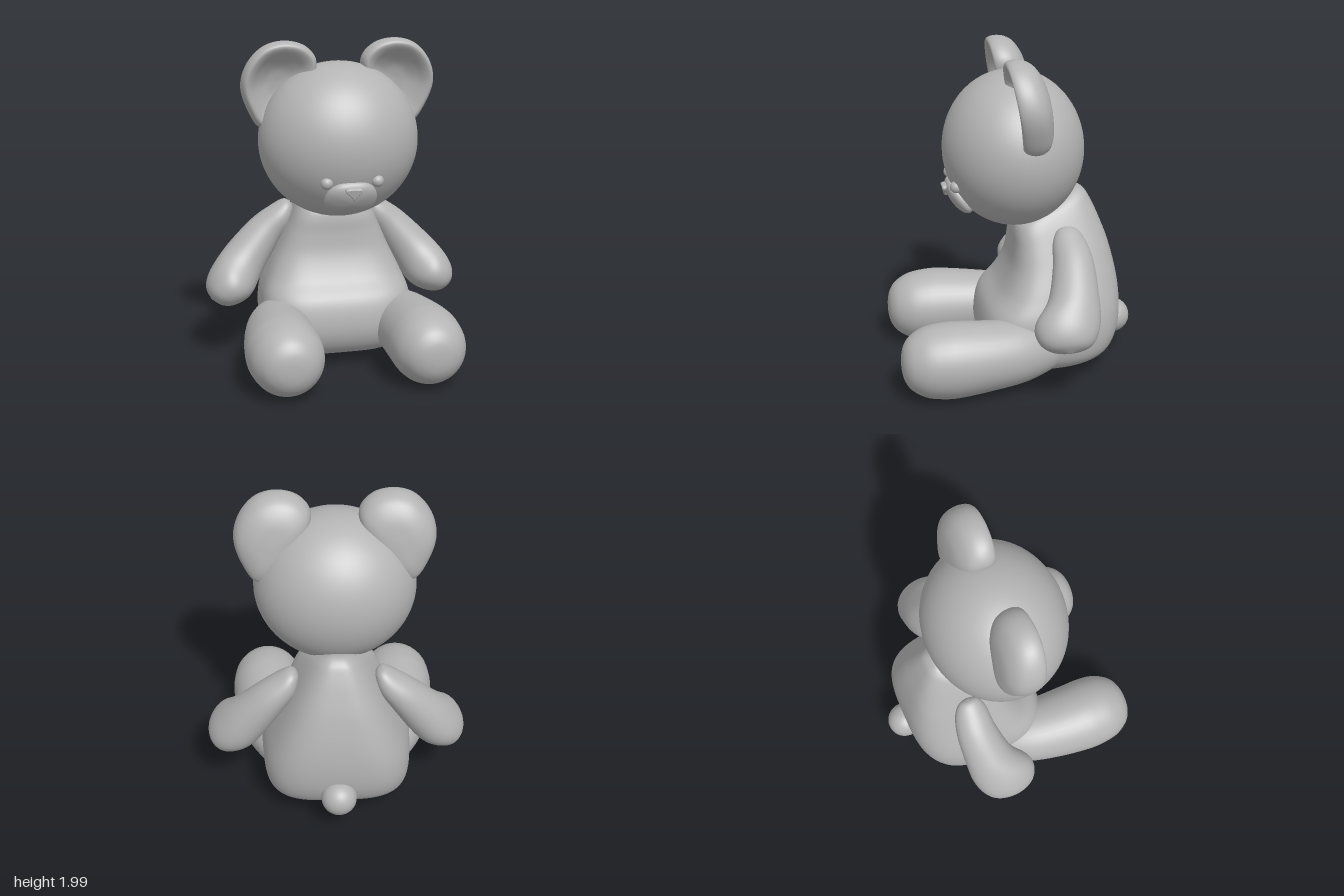
import * as THREE from 'three';
import { mergeVertices } from 'three/addons/utils/BufferGeometryUtils.js';

const plush = new THREE.MeshStandardMaterial({ color: 0xb4b4b4 });
plush.name = 'plush grey';

// Smooth closed skin from fn(u, v): u runs around, v runs from end to end
function skin(fn, nu = 48, nv = 48) {
  const pos = [], idx = [];
  for (let j = 0; j <= nv; j++) {
    for (let i = 0; i < nu; i++) {
      const p = fn(i / nu, j / nv);
      pos.push(p.x, p.y, p.z);
    }
  }
  for (let j = 0; j < nv; j++) {
    for (let i = 0; i < nu; i++) {
      const a = j * nu + i, b = j * nu + (i + 1) % nu;
      idx.push(a, b, b + nu, a, b + nu, a + nu);
    }
  }
  // Keep the faces pointing outwards, whichever way the rings run
  let volume = 0;
  const at = (i) => new THREE.Vector3().fromArray(pos, i * 3);
  for (let k = 0; k < idx.length; k += 3) {
    volume += at(idx[k]).dot(at(idx[k + 1]).cross(at(idx[k + 2])));
  }
  if (volume < 0) idx.reverse();
  let g = new THREE.BufferGeometry();
  g.setAttribute('position', new THREE.Float32BufferAttribute(pos, 3));
  g.setIndex(idx);
  g = mergeVertices(g, 1e-5);
  g.computeVertexNormals();
  return g;
}

// Smooth interpolation through rows of numbers
function spline(rows) {
  const part = (k) => new THREE.CatmullRomCurve3(
    rows.map((r) => new THREE.Vector3(r[k] ?? 0, r[k + 1] ?? 0, r[k + 2] ?? 0)), false, 'catmullrom', 0.5);
  const a = part(0), b = part(3);
  return (t) => [...a.getPoint(t).toArray(), ...b.getPoint(t).toArray()];
}

const sgnPow = (v, e) => Math.sign(v) * Math.pow(Math.abs(v), e);
const lerp = THREE.MathUtils.lerp;

// Rows: [distance, offset u, offset v, radius u, radius v] along a straight axis
function limb(rows, origin, axis, uDir, vDir, side) {
  const at = spline(rows);
  return skin((u, v) => {
    const [s, cu, cv, ru, rv] = at(v);
    const a = u * Math.PI * 2;
    const p = origin.clone().addScaledVector(axis, s)
      .addScaledVector(uDir, cu + Math.max(ru, 0) * Math.cos(a))
      .addScaledVector(vDir, cv + Math.max(rv, 0) * Math.sin(a));
    p.x *= side;
    return p;
  }, 40, 54);
}

// Torso rows: [back y, back z, front y, front z, half width, back narrowing]
function torso() {
  const at = spline([
    [0.06, -0.12, 0.06, -0.12, 0, 1],
    [0.065, -0.28, 0.06, 0.0, 0.2, 1],
    [0.09, -0.43, 0.08, 0.11, 0.33, 1],
    [0.16, -0.555, 0.15, 0.19, 0.41, 1],
    [0.27, -0.615, 0.27, 0.225, 0.445, 0.97],
    [0.42, -0.635, 0.43, 0.195, 0.445, 0.92],
    [0.6, -0.622, 0.55, 0.1, 0.405, 0.84],
    [0.8, -0.575, 0.68, 0.04, 0.345, 0.75],
    [0.95, -0.52, 0.8, 0.02, 0.295, 0.66],
    [1.06, -0.47, 0.9, 0.015, 0.25, 0.58],
    [1.12, -0.43, 0.96, -0.005, 0.2, 0.55],
    [1.14, -0.37, 1.0, -0.08, 0.12, 0.55],
    [1.09, -0.25, 1.09, -0.25, 0, 0.55],
  ]);
  return skin((u, v) => {
    const [by, bz, fy, fz, w, narrow] = at(v);
    const a = u * Math.PI * 2, e = 2 / 3.4;
    const t = (1 + sgnPow(Math.sin(a), e)) / 2;
    const x = Math.max(w, 0) * sgnPow(Math.cos(a), e) * lerp(narrow, 1.08, t);
    return new THREE.Vector3(x, lerp(by, fy, t), lerp(bz, fz, t));
  }, 80, 72);
}

// Dished ear: one outline scaled through a front-to-back cross-section
function ear(side) {
  const outline = new THREE.CatmullRomCurve3([
    [0.33, 2.0], [0.45, 1.97], [0.545, 1.87], [0.582, 1.74], [0.545, 1.6], [0.46, 1.475],
    [0.35, 1.5], [0.24, 1.62], [0.15, 1.78], [0.14, 1.89], [0.21, 1.97],
  ].map(([x, y]) => new THREE.Vector3(x, y, 0)), true);
  const section = spline([
    [0, -0.025], [0.3, -0.015], [0.55, 0.02], [0.74, 0.06], [0.88, 0.075], [0.965, 0.055], [1, 0.01],
    [0.96, -0.045], [0.82, -0.09], [0.5, -0.125], [0, -0.135],
  ]);
  const centre = new THREE.Vector3(0.36, 1.75, 0);
  return skin((u, v) => {
    const [k, z] = section(v);
    const p = centre.clone().lerp(outline.getPoint(u), Math.max(k, 0));
    p.z = z - 0.015 + 0.17 * (p.y - 1.74);
    p.x *= side;
    return p;
  }, 56, 44);
}

// Pillow-shaped muzzle with squared-off outline
function muzzle() {
  return skin((u, v) => {
    const a = u * Math.PI * 2, b = (v - 0.5) * Math.PI, e = 0.66;
    const r = Math.max(Math.cos(b), 0);
    const y = 0.115 * sgnPow(Math.sin(a), e) * r;
    const x = 0.157 * sgnPow(Math.cos(a), e) * r * (1 - 1.6 * Math.max(y, 0));
    return new THREE.Vector3(x, y, 0.06 * Math.sin(b));
  }, 48, 24);
}

// Rounded triangular nose, point down
function nose() {
  const s = new THREE.Shape();
  s.moveTo(0, -0.036);
  s.quadraticCurveTo(0.008, -0.018, 0.038, 0.002);
  s.quadraticCurveTo(0.052, 0.018, 0.03, 0.022);
  s.quadraticCurveTo(0, 0.024, -0.03, 0.022);
  s.quadraticCurveTo(-0.052, 0.018, -0.038, 0.002);
  s.quadraticCurveTo(-0.008, -0.018, 0, -0.036);
  return new THREE.ExtrudeGeometry(s, {
    depth: 0.02, bevelEnabled: true, bevelSize: 0.007, bevelThickness: 0.01, bevelSegments: 4, curveSegments: 10,
  });
}

export function createModel() {
  const bear = new THREE.Group();
  bear.name = 'teddyBear';
  const V = (x, y, z) => new THREE.Vector3(x, y, z);
  const add = (name, geometry, x = 0, y = 0, z = 0) => {
    const m = new THREE.Mesh(geometry, plush);
    m.name = name;
    m.position.set(x, y, z);
    bear.add(m);
    return m;
  };

  add('body', torso());
  add('head', new THREE.SphereGeometry(1, 64, 48).scale(0.48, 0.465, 0.422), 0, 1.4, 0);
  add('tail', new THREE.SphereGeometry(0.107, 32, 24), 0, 0.26, -0.633);

  // Face
  add('muzzle', muzzle(), 0, 1.122, 0.328).rotation.x = 0.59;
  add('nose', nose(), 0, 1.168, 0.398).rotation.x = 0.25;

  // Paired parts
  const armRows = [
    [-0.04, 0, 0.02, 0, 0], [-0.02, 0, 0.02, 0.04, 0.06], [0.06, -0.012, 0.015, 0.08, 0.1],
    [0.2, -0.01, 0.01, 0.108, 0.122], [0.4, -0.025, 0.035, 0.136, 0.15], [0.54, -0.038, 0.085, 0.147, 0.193],
    [0.64, -0.035, 0.1, 0.123, 0.175], [0.705, -0.03, 0.1, 0.076, 0.115], [0.735, -0.025, 0.1, 0, 0],
  ];
  const legRows = [
    [-0.27, 0.34, 0.22, 0, 0], [-0.25, 0.34, 0.22, 0.06, 0.06], [-0.17, 0.35, 0.235, 0.125, 0.13],
    [0, 0.38, 0.24, 0.187, 0.185], [0.2, 0.41, 0.24, 0.21, 0.208], [0.4, 0.425, 0.238, 0.224, 0.227],
    [0.5, 0.425, 0.237, 0.224, 0.226], [0.6, 0.425, 0.236, 0.208, 0.208], [0.68, 0.425, 0.236, 0.163, 0.163],
    [0.72, 0.425, 0.236, 0.11, 0.11], [0.736, 0.425, 0.236, 0.055, 0.055], [0.74, 0.425, 0.236, 0, 0],
  ];
  for (const side of [1, -1]) {
    const label = side > 0 ? 'left' : 'right';
    add(label + 'Eye', new THREE.SphereGeometry(0.037, 24, 16), side * 0.15, 1.217, 0.362);
    add(label + 'Ear', ear(side));
    add(label + 'Arm', limb(armRows, V(0.27, 0.93, -0.3), V(0.685, -0.728, 0), V(0.728, 0.685, 0), V(0, 0, 1), side));
    add(label + 'Leg', limb(legRows, V(0, 0, 0), V(0, 0, 1), V(1, 0, 0), V(0, 1, 0), side));
  }
  return bear;
}
